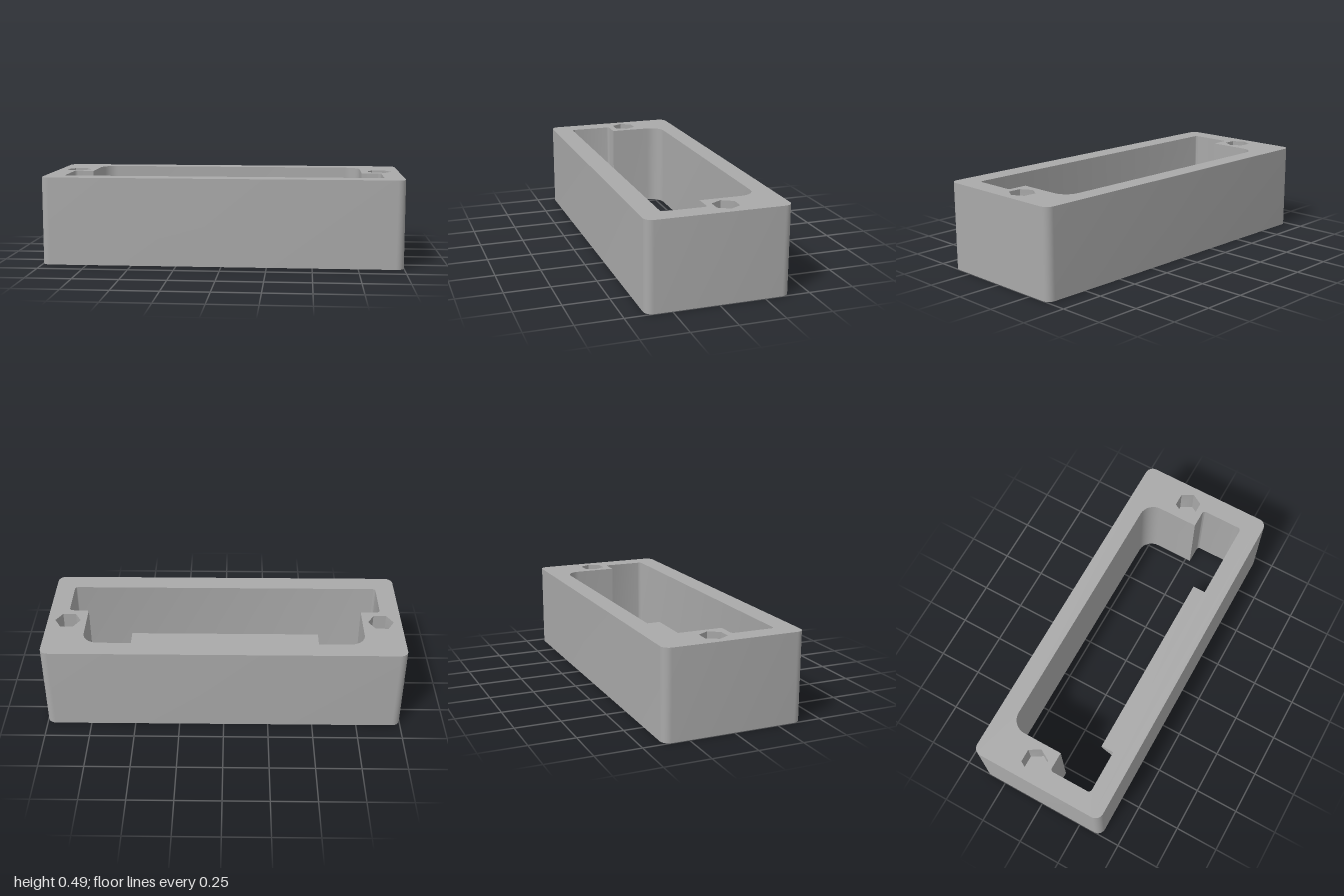
import * as THREE from 'three';
import { mergeGeometries, toCreasedNormals } from 'three/addons/utils/BufferGeometryUtils.js';

const HEIGHT = 0.488;
const V = (x, y) => new THREE.Vector2(x, y);

// Counter-clockwise plan outline (plan y = -z) with rounded corners, from [x, y, radius].
function roundedOutline(corners, steps = 8) {
  const out = [];
  corners.forEach(([x, y, r], i) => {
    const p = V(x, y);
    if (!r) { out.push(p); return; }
    const n = corners.length;
    const prev = corners[(i + n - 1) % n], next = corners[(i + 1) % n];
    const a = V(prev[0], prev[1]).sub(p).setLength(r);
    const b = V(next[0], next[1]).sub(p).setLength(r);
    for (let k = 0; k <= steps; k++) {
      const t = (k / steps) * Math.PI / 2;
      out.push(p.clone().addScaledVector(a, 1 - Math.sin(t)).addScaledVector(b, 1 - Math.cos(t)));
    }
  });
  return out;
}

const polygon = (cx, cy, r, sides) => Array.from({ length: sides }, (_, i) =>
  V(cx + r * Math.cos(i / sides * 2 * Math.PI), cy + r * Math.sin(i / sides * 2 * Math.PI)));

const rect = (cx, cy, hx, hy) =>
  [V(cx - hx, cy - hy), V(cx + hx, cy - hy), V(cx + hx, cy + hy), V(cx - hx, cy + hy)];

function fromPositions(pos) {
  const g = new THREE.BufferGeometry();
  g.setAttribute('position', new THREE.Float32BufferAttribute(pos, 3));
  return g;
}

// Vertical wall along an outline; inward walls line a hole.
function wall(outline, y0, y1, inward = false) {
  const pts = inward ? [...outline].reverse() : outline;
  const pos = [];
  pts.forEach((a, i) => {
    const b = pts[(i + 1) % pts.length];
    pos.push(a.x, y0, -a.y, b.x, y0, -b.y, b.x, y1, -b.y);
    pos.push(a.x, y0, -a.y, b.x, y1, -b.y, a.x, y1, -a.y);
  });
  return fromPositions(pos);
}

// Horizontal face with holes, facing up or down.
function face(outline, holes, y, up = true) {
  const pos = [];
  const all = [...outline, ...holes.flat()];
  for (const tri of THREE.ShapeUtils.triangulateShape(outline, holes)) {
    const order = up ? tri : [...tri].reverse();
    for (const i of order) pos.push(all[i].x, y, -all[i].y);
  }
  return fromPositions(pos);
}

export function createModel() {
  const group = new THREE.Group();
  const grey = new THREE.MeshStandardMaterial({ color: 0xa9a9a9 });
  grey.name = 'grey plastic';

  const outer = roundedOutline([
    [-1, -0.39, 0.045], [1, -0.39, 0.045], [1, 0.39, 0.045], [-1, 0.39, 0.045]]);
  const opening = roundedOutline([
    [-0.89, -0.275, 0.018], [0.89, -0.275, 0.018], [0.89, -0.03, 0.018], [0.78, -0.03, 0],
    [0.78, 0.285, 0.085], [-0.78, 0.285, 0.085], [-0.78, -0.03, 0], [-0.89, -0.03, 0.018]]);

  // Stepped bolt holes: round counterbore below, hexagonal nut pocket above
  const boreTop = 0.15, squareY = 0.325, slotY = 0.331, hexY = 0.337;
  const holes = [-0.885, 0.885].map((x) => ({
    bore: polygon(x, 0.07, 0.06, 32),
    shaft: polygon(x, 0.07, 0.038, 32),
    square: rect(x, 0.07, 0.0385, 0.0385),
    slot: rect(x, 0.07, 0.039, 0.0612),
    hex: polygon(x, 0.07, 0.072, 6),
  }));

  // Frame body
  const parts = [
    wall(outer, 0, HEIGHT),
    wall(opening, 0, HEIGHT, true),
    face(outer, [opening, ...holes.map((h) => h.hex)], HEIGHT),
    face(outer, [opening, ...holes.map((h) => h.bore)], 0, false),
  ];
  const frame = new THREE.Mesh(toCreasedNormals(mergeGeometries(parts), 0.6), grey);
  frame.name = 'frame';
  group.add(frame);

  // Linings of the two bolt holes
  holes.forEach((h, i) => {
    const lining = mergeGeometries([
      wall(h.bore, 0, boreTop, true),
      face(h.bore, [h.shaft], boreTop, false),
      wall(h.shaft, boreTop, squareY, true),
      face(h.square, [h.shaft], squareY),
      wall(h.square, squareY, slotY, true),
      face(h.slot, [h.square], slotY),
      wall(h.slot, slotY, hexY, true),
      face(h.hex, [h.slot], hexY),
      wall(h.hex, hexY, HEIGHT, true),
    ]);
    const mesh = new THREE.Mesh(toCreasedNormals(lining, 0.6), grey);
    mesh.name = i ? 'leftBoltHole' : 'rightBoltHole';
    group.add(mesh);
  });

  // Wedge-shaped ledge on the inside of the front wall
  const profile = new THREE.Shape([V(0.28, 0.005), V(0.28, 0.155), V(0.155, 0.155), V(0.155, 0.125)]);
  const ledgeGeometry = new THREE.ExtrudeGeometry(profile, { depth: 1.14, bevelEnabled: false });
  ledgeGeometry.rotateY(-Math.PI / 2).translate(0.57, 0, 0);
  const ledge = new THREE.Mesh(ledgeGeometry, grey);
  ledge.name = 'frontLedge';
  group.add(ledge);

  return group;
}
